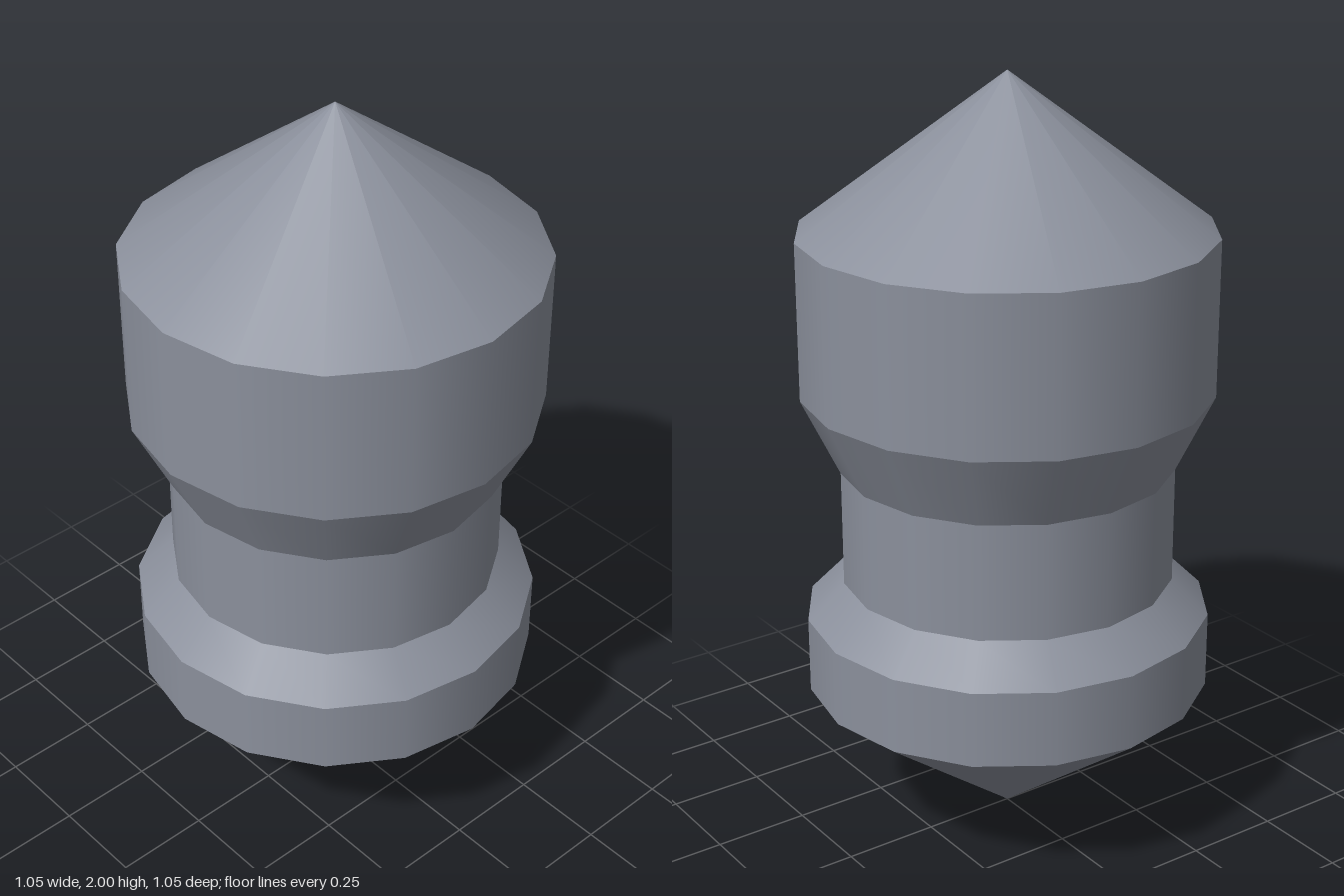
import * as THREE from 'three';

const SIDES = 16;
const WIDE = 0.526;
const NECK = 0.43;

// Profile rings from the bottom point to the top point: [radius, height]
const RINGS = [
  [0, 0], [WIDE, 0.4], [WIDE, 0.6], [NECK, 0.695],
  [NECK, 1.0], [WIDE, 1.2], [WIDE, 1.605], [0, 2],
];
const NAMES = ['lowerPoint', 'lowerCollar', 'lowerBevel', 'neck', 'flare', 'upperBody', 'upperPoint'];

export function createModel() {
  const model = new THREE.Group();
  model.name = 'pointedPeg';
  const steel = new THREE.MeshStandardMaterial({ color: 0x8b909c });
  steel.name = 'steelGrey';

  // Each band is smooth around the axis, with a hard edge to its neighbours
  NAMES.forEach((name, i) => {
    const profile = [RINGS[i], RINGS[i + 1]].map(([r, y]) => new THREE.Vector2(r, y));
    const band = new THREE.Mesh(new THREE.LatheGeometry(profile, SIDES), steel);
    band.name = name;
    model.add(band);
  });
  return model;
}
